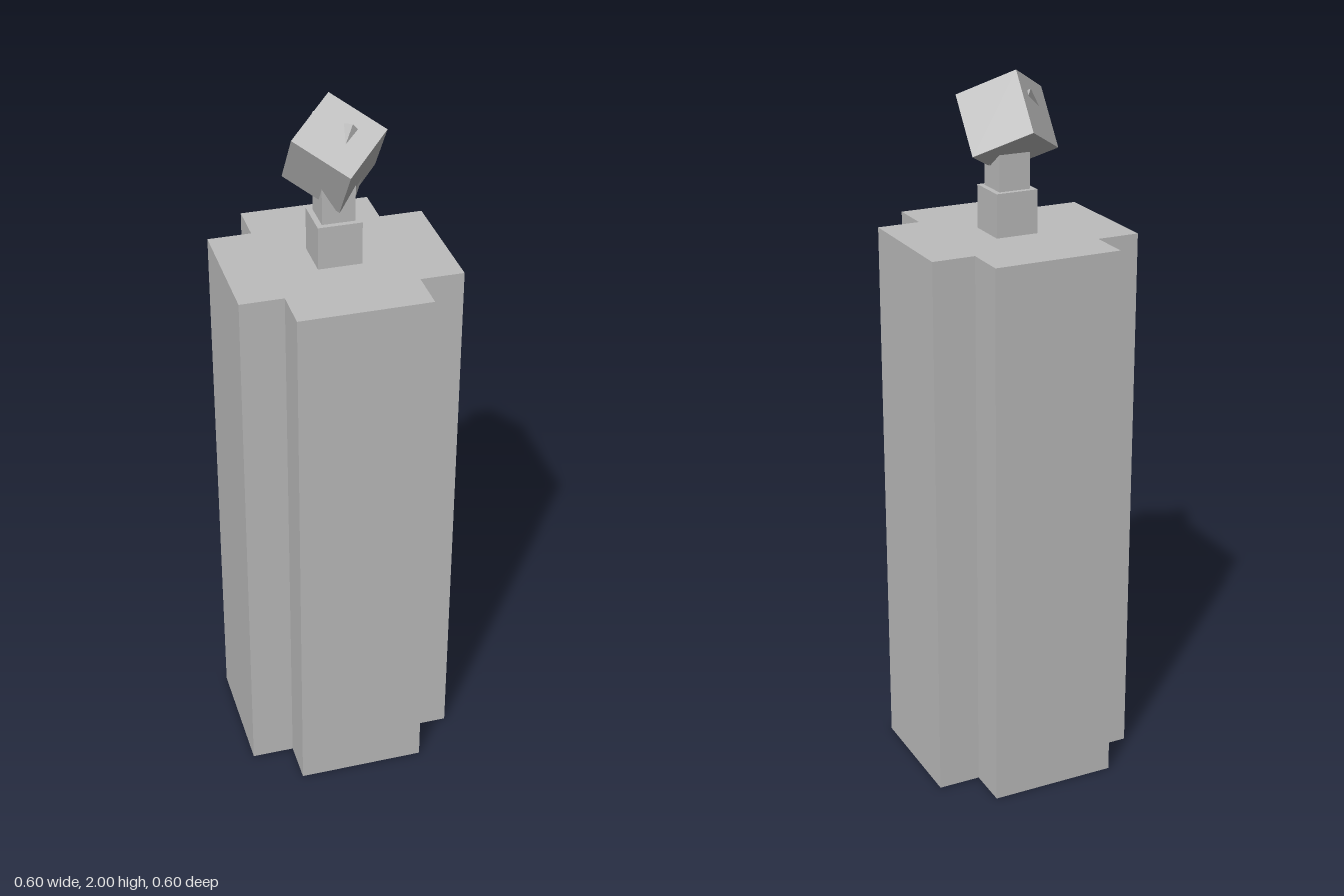
import * as THREE from 'three';
import { ConvexGeometry } from 'three/addons/geometries/ConvexGeometry.js';

export function createModel() {
  const group = new THREE.Group();
  const stone = new THREE.MeshStandardMaterial({ color: 0xbcbcbc, side: THREE.DoubleSide });
  stone.name = 'grey';

  const add = (name, geometry, x = 0, y = 0, z = 0, parent = group) => {
    const mesh = new THREE.Mesh(geometry, stone);
    mesh.name = name;
    mesh.position.set(x, y, z);
    parent.add(mesh);
    return mesh;
  };

  // Hollow cross-shaped column, open underneath
  const a = 0.3, b = 0.18, height = 1.56;
  const outline = [
    [a, -b], [a, b], [b, b], [b, a], [-b, a], [-b, b],
    [-a, b], [-a, -b], [-b, -b], [-b, -a], [b, -a], [b, -b],
  ].map(([x, z]) => new THREE.Vector2(x, z));
  const column = new THREE.Group();
  column.name = 'column';
  group.add(column);
  const lid = new THREE.ShapeGeometry(new THREE.Shape(outline)).rotateX(-Math.PI / 2);
  add('columnTop', lid, 0, height, 0, column);
  outline.forEach((p, i) => {
    const q = outline[(i + 1) % outline.length];
    const wall = new THREE.PlaneGeometry(p.distanceTo(q), height);
    const mesh = add('columnWall', wall, (p.x + q.x) / 2, height / 2, (p.y + q.y) / 2, column);
    mesh.rotation.y = Math.atan2(q.y - p.y, -(q.x - p.x));
    // Turn the plane so that its normal points out of the outline
    mesh.rotation.y = Math.atan2(q.y - p.y, p.x - q.x);
  });

  // Pedestal and slimmer post carrying the cube
  add('pedestal', new THREE.BoxGeometry(0.12, 0.12, 0.12), 0, 1.62, 0);
  add('post', new THREE.BoxGeometry(0.09, 0.12, 0.09), 0, 1.74, 0);

  // Cube turned by 45 degrees and tipped forward
  const cube = add('tiltedCube', new THREE.BoxGeometry(0.177, 0.177, 0.177), 0, 1.856, 0);
  cube.rotation.set(Math.asin(1 / Math.sqrt(3)), Math.PI / 4, 0, 'XYZ');

  // Small shards poking through the cube faces
  const shards = [
    [[0.015, 1.945, 0.02], [0.005, 1.905, 0.078], [0.052, 1.932, 0.042], [0.035, 1.953, 0.05]],
    [[-0.08, 1.89, -0.03], [-0.03, 1.93, -0.062], [-0.032, 1.943, -0.05], [-0.038, 1.95, -0.06]],
    [[0.03, 1.77, 0.04], [0.07, 1.79, 0.02], [0.045, 1.8, -0.02], [0.05, 1.72, 0.015]],
    [[-0.03, 1.77, 0.04], [-0.06, 1.79, 0.02], [-0.045, 1.8, -0.02], [-0.04, 1.74, 0.02]],
  ];
  for (const points of shards) {
    add('shard', new ConvexGeometry(points.map((p) => new THREE.Vector3(...p))));
  }
  return group;
}
